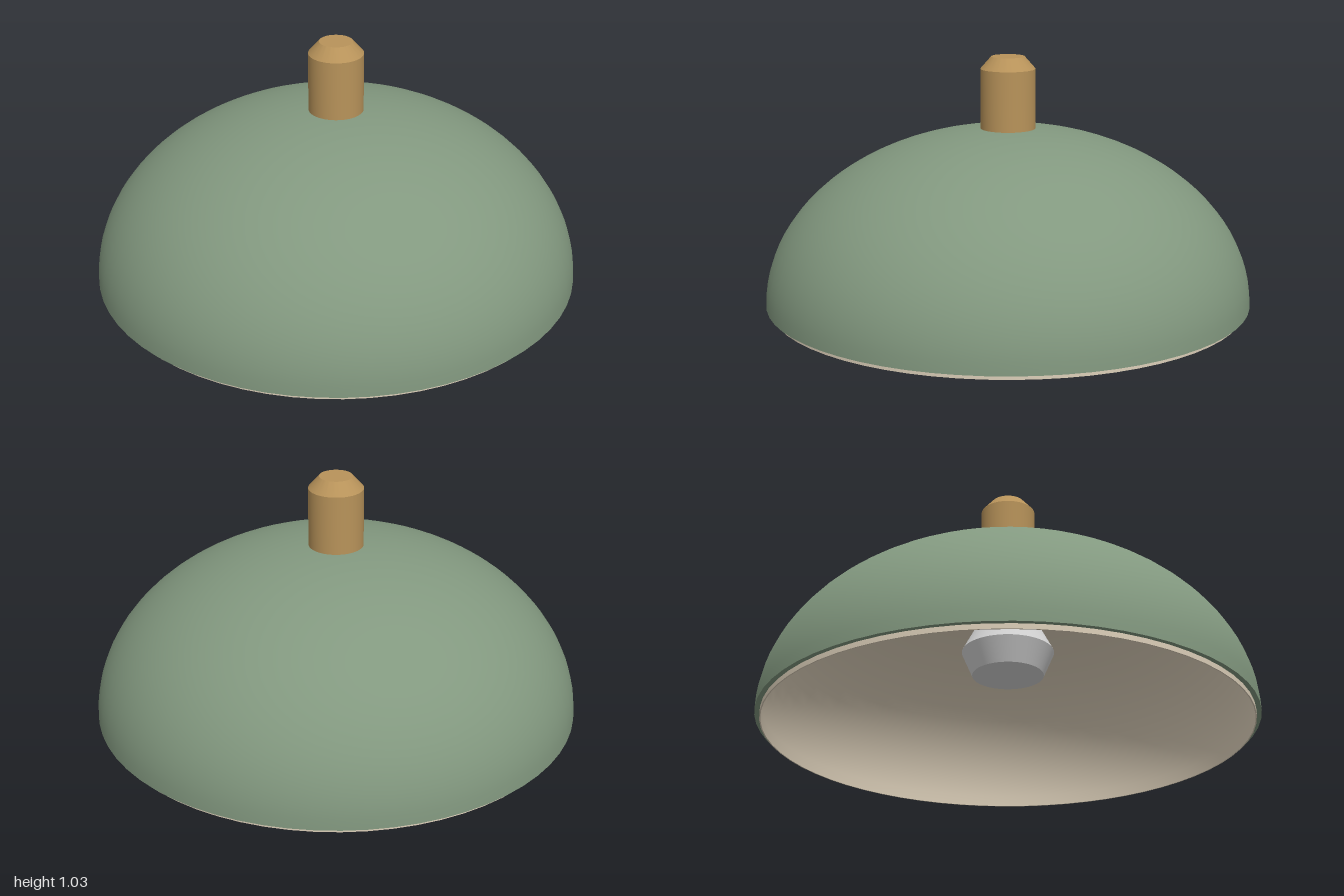
import * as THREE from 'three';
import { toCreasedNormals } from 'three/addons/utils/BufferGeometryUtils.js';

const SEGMENTS = 64;
const mat = (name, color) => new THREE.MeshStandardMaterial({ name, color });

// Revolve a list of [radius, height] points, listed bottom to top for an outward surface
function revolve(name, points, material, crease = 0.5) {
  const profile = points.map(([r, y]) => new THREE.Vector2(r, y));
  const geometry = toCreasedNormals(new THREE.LatheGeometry(profile, SEGMENTS), crease);
  const mesh = new THREE.Mesh(geometry, material);
  mesh.name = name;
  return mesh;
}

// Quarter ellipse from the rim up to the crown
function domeArc(radius, base, height, steps = 24) {
  return Array.from({ length: steps + 1 }, (_, i) => {
    const a = (i / steps) * Math.PI / 2;
    return [i === steps ? 0 : radius * Math.cos(a), base + height * Math.sin(a)];
  });
}

export function createModel() {
  const green = mat('sage green', 0x82987f);
  const cream = mat('warm cream', 0xdccfb9);
  const brass = mat('brass', 0xb8935a);
  const grey = mat('bulb grey', 0xd2d2d2);
  const group = new THREE.Group();
  group.name = 'domePendantLamp';

  // Outer shade with the narrow underside of its edge
  group.add(revolve('outerShade', [[0.98, 0.02], ...domeArc(1, 0.02, 0.72)], green));

  // Cream lining: outside of the lip, lip edge, then the inner dome
  group.add(revolve('innerLining', [
    ...domeArc(0.975, 0, 0.72).reverse(), [0.98, 0], [0.98, 0.02],
  ], cream));

  // Brass cap with a chamfered top
  group.add(revolve('brassCap', [
    [0, 0.725], [0.112, 0.725], [0.112, 0.98], [0.068, 1.03], [0, 1.03],
  ], brass));

  // Bulb with flat end, wide shoulder and narrow neck
  group.add(revolve('bulb', [
    [0, 0.235], [0.145, 0.235], [0.188, 0.335], [0.1, 0.5], [0.07, 0.51], [0.07, 0.718],
  ], grey));

  return group;
}
